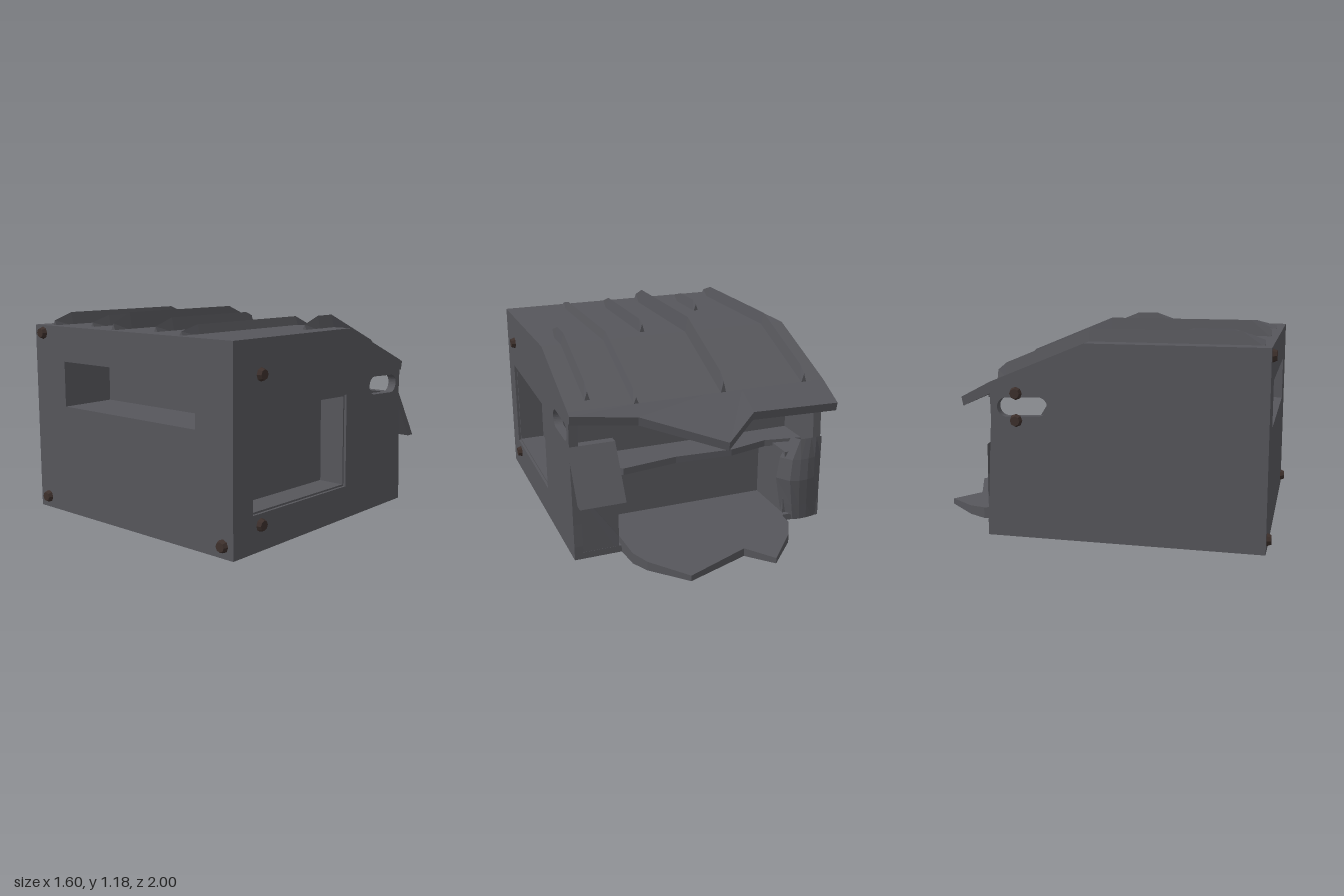
import * as THREE from 'three';

const dark = (color) => new THREE.MeshStandardMaterial({ color, flatShading: true, side: THREE.DoubleSide });
const shell = dark(0x56565b);
const bolt = dark(0x3d302c);
const V = (x, y, z) => new THREE.Vector3(x, y, z);

// Skin a list of equal-length point loops; closed loops get end caps
function loft(sections, closed = true) {
  const pos = [];
  const tri = (...p) => p.forEach((v) => pos.push(v.x, v.y, v.z));
  const n = sections[0].length;
  for (let s = 0; s < sections.length - 1; s++) {
    const a = sections[s], b = sections[s + 1];
    for (let i = 0; i < (closed ? n : n - 1); i++) {
      const j = (i + 1) % n;
      tri(a[i], a[j], b[j]);
      tri(a[i], b[j], b[i]);
    }
  }
  if (closed) {
    [sections[0], sections[sections.length - 1]].forEach((c, k) => {
      for (let i = 0; i < n / 2 - 1; i++) {
        const q = [c[i], c[i + 1], c[n - 2 - i], c[n - 1 - i]];
        if (k === 0) q.reverse();
        tri(q[0], q[1], q[2]);
        tri(q[0], q[2], q[3]);
      }
    });
  }
  const g = new THREE.BufferGeometry();
  g.setAttribute('position', new THREE.Float32BufferAttribute(pos, 3));
  g.computeVertexNormals();
  return g;
}

const poly = (pts) => new THREE.Shape(pts.map(([x, y]) => new THREE.Vector2(x, y)));
const extrude = (shape, depth) => new THREE.ExtrudeGeometry(shape, { depth, bevelEnabled: false, curveSegments: 8 });
// Grow a four-cornered outline away from its centre
const grow = (pts, d) => {
  const cx = pts.reduce((s, p) => s + p[0], 0) / pts.length;
  const cy = pts.reduce((s, p) => s + p[1], 0) / pts.length;
  return pts.map(([x, y]) => [x + Math.sign(x - cx) * d, y + Math.sign(y - cy) * d]);
};
const roofY = (z) => (z > 0 ? 1.09 : 1.09 + z * 0.415);

export function createModel() {
  const model = new THREE.Group();
  const add = (name, geometry, material = shell, parent = model) => {
    const mesh = new THREE.Mesh(geometry, material);
    mesh.name = name;
    parent.add(mesh);
    return mesh;
  };
  const box = (name, x0, x1, y0, y1, z0, z1) =>
    add(name, new THREE.BoxGeometry(x1 - x0, y1 - y0, z1 - z0)
      .translate((x0 + x1) / 2, (y0 + y1) / 2, (z0 + z1) / 2));

  // Side walls, drawn in (z, y), with a through slot near the back
  const panel = [[0.82, 0.73], [0.035, 0.71], [0.03, 0.2], [0.82, 0.21]];
  const sideWall = (name, x, hasPanel) => {
    const s = poly([[0.98, 0], [0.98, 1.07], [0, 1.07], [-0.535, 0.84], [-0.53, 0.67], [-0.56, 0.08], [-0.56, 0]]);
    const slot = new THREE.Path();
    slot.absarc(-0.26, 0.74, 0.053, -Math.PI / 2, Math.PI / 2, false);
    slot.absarc(-0.44, 0.732, 0.053, Math.PI / 2, Math.PI * 1.5, false);
    s.holes.push(slot);
    if (hasPanel) s.holes.push(poly(grow(panel, 0.01)));
    add(name, extrude(s, 0.05).rotateY(-Math.PI / 2).translate(x, 0, 0));
  };
  sideWall('leftWall', 0.77, true);
  sideWall('rightWall', -0.73, false);

  // Sunken side panel
  const sideRing = poly(grow(panel, 0.03));
  sideRing.holes.push(poly(panel));
  add('sidePocketFrame', extrude(sideRing, 0.16).rotateY(-Math.PI / 2).translate(0.755, 0, 0));
  box('sidePocketBack', 0.57, 0.6, 0.17, 0.76, 0, 0.85);

  // Front wall with a long recess
  const opening = [[-0.52, 0.63], [0.515, 0.63], [0.515, 0.89], [-0.52, 0.89]];
  const front = poly([[-0.78, 0], [0.77, 0], [0.77, 1.07], [-0.78, 1.07]]);
  front.holes.push(poly(opening));
  add('frontWall', extrude(front, 0.05).translate(0, 0, 0.93));
  const frontRing = poly(grow(opening, 0.03));
  frontRing.holes.push(poly(opening));
  add('frontPocketFrame', extrude(frontRing, 0.3).translate(0, 0, 0.65));
  box('frontPocketBack', -0.55, 0.545, 0.6, 0.92, 0.62, 0.65);

  // Floor, inner wall and the blocks beside the lower rear cavity
  box('floor', -0.78, 0.77, 0, 0.04, -0.56, 0.98);
  box('innerWall', -0.74, 0.73, 0.02, 0.98, -0.19, -0.15);
  box('leftCavityBlock', 0.5, 0.73, 0.02, 0.44, -0.53, -0.17);
  box('rightCavityBlock', -0.74, -0.55, 0.02, 0.44, -0.53, -0.17);

  // Roof: sloped at the back, with a torn overhanging edge
  const tear = [[-0.78, -0.7, 0.78], [-0.25, -0.69, 0.79], [-0.03, -0.85, 0.7], [0.4, -0.61, 0.82], [0.77, -0.56, 0.855]];
  add('roof', loft(tear.map(([x, z, y]) => [
    V(x, 1.09, 0.98), V(x, 1.09, 0), V(x, 0.87, -0.53), V(x, y, z),
    V(x, y - 0.05, z + 0.01), V(x, 0.81, -0.52), V(x, 1.03, 0), V(x, 1.03, 0.98),
  ])));

  // Roof fins of triangular section: x, front z, back z, height
  const fins = new THREE.Group();
  fins.name = 'roofFins';
  model.add(fins);
  [
    [-0.65, 0.94, -0.53, 0.07], [-0.395, 0.87, 0.48, 0.06], [-0.135, 0.94, -0.53, 0.09],
    [0.125, 0.87, 0.09, 0.07], [0.385, 0.94, -0.53, 0.05], [0.64, 0.25, -0.46, 0.07],
  ].forEach(([x, z0, z1, h]) => {
    const stations = [[z0, 0.4], [z0 - 0.12, 1], [0, 1], [z1 + 0.05, 1], [z1, 0.7]]
      .filter(([z], i) => i !== 2 || (z > z1 && z < z0));
    add('roofFin', loft(stations.map(([z, k]) => {
      const y = roofY(z);
      return [V(x - 0.018, y - 0.01, z), V(x, y + h * k, z), V(x + 0.018, y - 0.01, z)];
    })), shell, fins);
  });

  // Torn shelf inside the rear opening
  const shelf = poly([[-0.73, -0.17], [-0.73, -0.4], [-0.5, -0.36], [-0.25, -0.42], [0.1, -0.4], [0.44, -0.45], [0.5, -0.38], [0.73, -0.4], [0.73, -0.17]]);
  add('tornShelf', extrude(shelf, 0.04).rotateX(Math.PI / 2).translate(0, 0.46, 0));

  // Bent-down rear plate, thinning toward its ragged edge
  const plate = extrude(poly([
    [-0.5, -0.5], [-0.5, -0.7], [-0.44, -0.81], [-0.26, -1], [-0.13, -0.86],
    [0.25, -1], [0.43, -0.81], [0.48, -0.71], [0.5, -0.5],
  ]), 1).rotateX(Math.PI / 2).translate(0, 1, 0);
  const p = plate.attributes.position;
  for (let i = 0; i < p.count; i++) p.setY(i, p.getY(i) * (0.08 + (p.getZ(i) + 0.56) * 0.105));
  plate.computeVertexNormals();
  add('rearPlate', plate);

  // Rear flap folded outward on the left
  const flap = [V(0.77, 0.67, -0.53), V(0.51, 0.67, -0.53), V(0.51, 0.38, -0.71), V(0.77, 0.38, -0.71)];
  add('rearFlap', loft([flap, flap.map((v) => v.clone().add(V(0, 0, 0.05)))]));

  // Remaining corner pieces of the back wall
  const corner = [V(0.77, 0, -0.56), V(0.77, 0.47, -0.545), V(0.51, 0.1, -0.56), V(0.51, 0, -0.56)];
  add('leftRearCorner', loft([corner, corner.map((v) => v.clone().add(V(0, 0, 0.04)))]));
  add('rightRearCurl', loft([[0, 0.4, 0], [0.1, 0.6, 0.02], [0.27, 1, 0.05], [0.4, 0.7, 0.03], [0.52, 0.1, -0.04]]
    .map(([y, k, w]) => [0, 1, 2, 3, 4, 5].map((i) => V(
      -0.78 + (0.22 + w) * i / 5,
      y,
      -0.555 - 0.045 * k * Math.sin(i / 5 * Math.PI) + (i === 5 ? 0.05 : 0))))
    , false));

  // Bolts: position and outward axis
  const head = () => new THREE.CylinderGeometry(0.027, 0.037, 0.026, 8).translate(0, 0.011, 0);
  const bolts = new THREE.Group();
  bolts.name = 'bolts';
  model.add(bolts);
  [
    [-0.71, 1.045, 0.98, 0, 1], [-0.71, 0.065, 0.98, 0, 1], [0.7, 0.065, 0.98, 0, 1],
    [0.77, 0.91, 0.77, 1, 0], [0.77, 0.14, 0.77, 1, 0],
    [-0.78, 0.81, -0.385, -1, 0], [-0.78, 0.66, -0.385, -1, 0],
  ].forEach(([x, y, z, nx, nz]) => {
    const mesh = add('bolt', head(), bolt, bolts);
    mesh.position.set(x, y, z);
    mesh.quaternion.setFromUnitVectors(V(0, 1, 0), V(nx, 0, nz));
  });

  return model;
}
